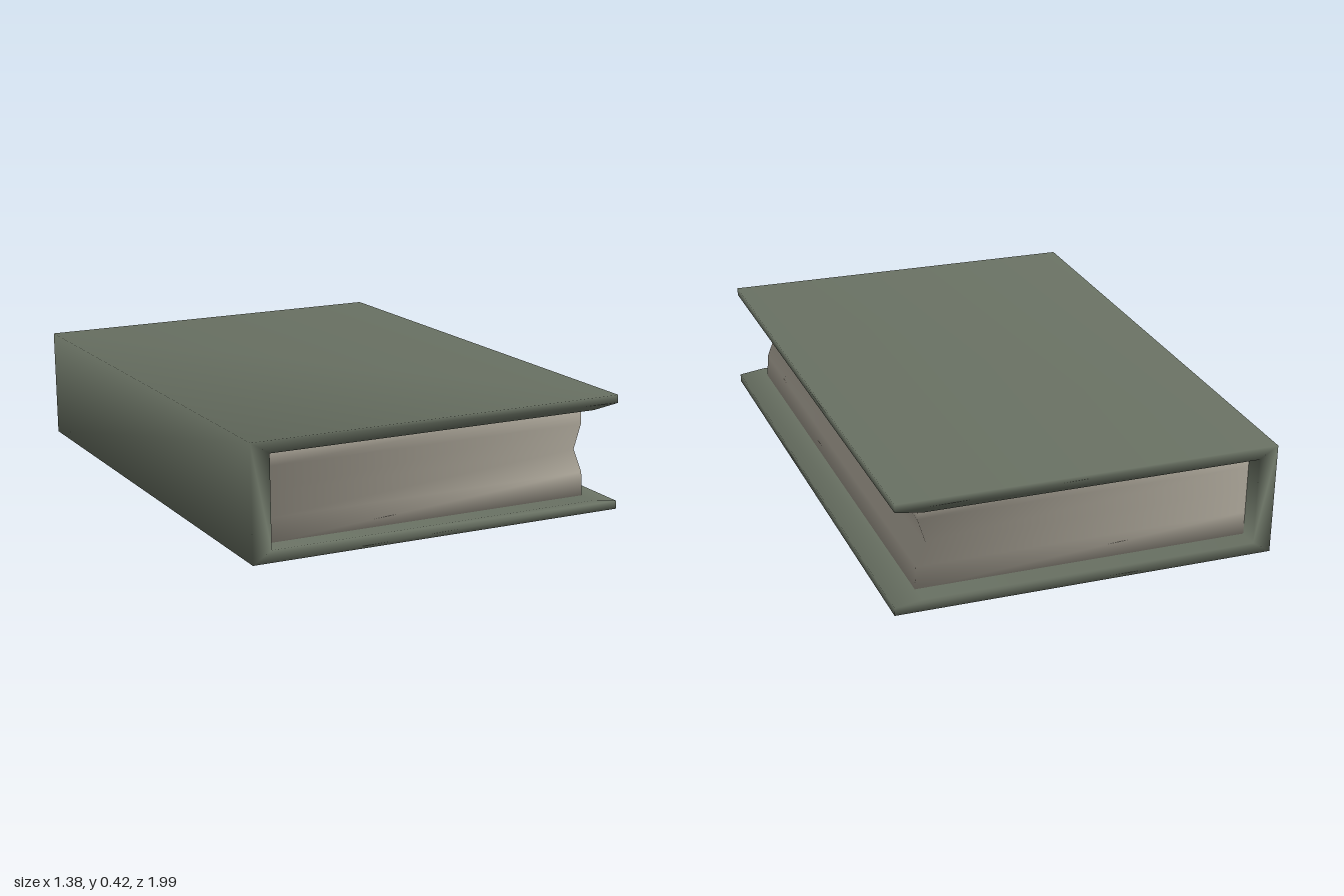
import * as THREE from 'three';
import { mergeVertices } from 'three/addons/utils/BufferGeometryUtils.js';

// Weld the corners so that normals blend softly across the edges
function weld(geometry) {
  geometry.deleteAttribute('normal');
  geometry.deleteAttribute('uv');
  geometry.clearGroups();
  const welded = mergeVertices(geometry, 1e-4);
  welded.computeVertexNormals();
  return welded;
}

export function createModel() {
  const coverMaterial = new THREE.MeshStandardMaterial({ color: 0x687062 });
  coverMaterial.name = 'green cover';
  const paperMaterial = new THREE.MeshStandardMaterial({ color: 0xaca699 });
  paperMaterial.name = 'aged paper';

  // Cover: spine and two boards as one C-shaped section, thinner at the fore edge
  const length = 1.975;
  const section = new THREE.Shape([
    [-0.676, 0], [0.676, 0], [0.676, 0.028], [0.58, 0.042], [-0.61, 0.042],
    [-0.61, 0.358], [0.58, 0.358], [0.676, 0.372], [0.676, 0.4], [-0.676, 0.4],
  ].map(([x, y]) => new THREE.Vector2(x, y)));
  const coverGeometry = new THREE.ExtrudeGeometry(section, { depth: length, bevelEnabled: false });
  coverGeometry.translate(0, 0, -length / 2);
  const cover = new THREE.Mesh(weld(coverGeometry), coverMaterial);
  cover.name = 'cover';

  // Page block: a box whose fore edge is pushed in along the middle
  const rows = [[0.04, 0.583], [0.125, 0.58], [0.21, 0.548], [0.295, 0.576], [0.36, 0.576]];
  const pageGeometry = new THREE.BoxGeometry(1, 4, 1.83, 1, 4, 1);
  const position = pageGeometry.attributes.position;
  for (let i = 0; i < position.count; i++) {
    const [y, foreEdge] = rows[Math.round(position.getY(i) + 2)];
    position.setX(i, position.getX(i) > 0 ? foreEdge : -0.612);
    position.setY(i, y);
  }
  const pages = new THREE.Mesh(weld(pageGeometry), paperMaterial);
  pages.name = 'pages';

  // The book lies very slightly turned and tilted
  const book = new THREE.Group();
  book.name = 'book';
  book.add(cover, pages);
  book.rotation.set(0, -0.012, 0.0185);
  book.position.set(0.003, 0.0135, 0);

  const model = new THREE.Group();
  model.add(book);
  return model;
}
